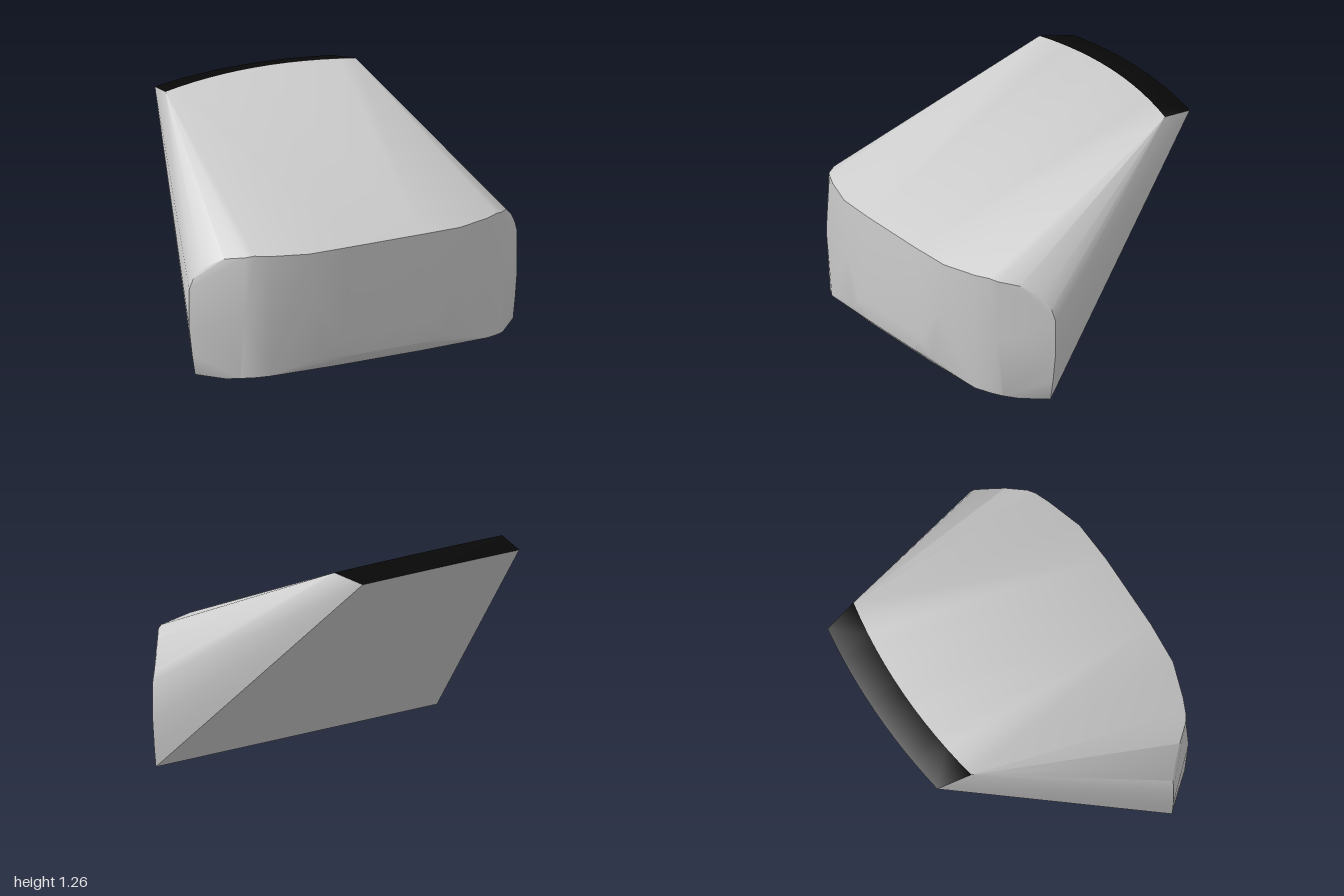
import * as THREE from 'three';
import { ConvexGeometry } from 'three/addons/geometries/ConvexGeometry.js';
import { toCreasedNormals } from 'three/addons/utils/BufferGeometryUtils.js';

export function createModel() {
  const group = new THREE.Group();
  const shellGrey = new THREE.MeshStandardMaterial({ color: 0xcccccc });
  const edgeBlack = new THREE.MeshStandardMaterial({ color: 0x080808 });

  const points = [];
  const pair = (x, y, z) => points.push(new THREE.Vector3(x, y, z), new THREE.Vector3(-x, y, z));

  // front panel and its chin
  [[0.22, 0.705, 0.79], [0.46, 0.70, 0.775], [0.43, 0.42, 0.785], [0.22, 0.205, 0.81],
    [0.28, 0.19, 0.807], [0.36, 0.11, 0.787], [0.22, 0.10, 0.80], [0.54, 0.04, 0.73], [0.25, 0.03, 0.73]]
    .forEach((p) => pair(...p));

  // corner strips
  [[0.66, 0.70, 0.71], [0.74, 0.705, 0.675], [0.78, 0.695, 0.65], [0.79, 0.35, 0.66],
    [0.66, 0.03, 0.715], [0.74, 0.02, 0.67], [0.80, 0.015, 0.63]]
    .forEach((p) => pair(...p));

  // rounded sides and base
  [[0.86, 0.675, 0.56], [0.94, 0.61, 0.47], [0.98, 0.55, 0.44], [1.0, 0.49, 0.43],
    [1.0, 0.27, 0.43], [0.985, 0.12, 0.435], [0.97, 0.01, 0.44], [0.85, 0, 0.56], [0.4, 0, 0.57]]
    .forEach((p) => pair(...p));

  // arched upper edge, front and back rims
  for (let i = 0; i <= 6; i++) {
    const t = i / 6, b = t * t;
    pair(0.58 * t, 1.26 - 0.025 * b, -0.64 + 0.06 * b);
    pair(0.54 * t, 1.22 - 0.018 * b, -0.815 + 0.045 * b);
  }

  // wrap the points, then separate the cap between the two rims
  const hull = new ConvexGeometry(points);
  hull.deleteAttribute('normal');
  const smooth = toCreasedNormals(hull, 0.6);
  const pos = smooth.attributes.position, nor = smooth.attributes.normal;
  const addPart = (name, material, wanted) => {
    const p = [], n = [];
    for (let i = 0; i < pos.count; i += 3) {
      const isCap = [0, 1, 2].every((k) => pos.getZ(i + k) < -0.5);
      if (isCap !== wanted) continue;
      for (let k = i; k < i + 3; k++) {
        p.push(pos.getX(k), pos.getY(k), pos.getZ(k));
        n.push(nor.getX(k), nor.getY(k), nor.getZ(k));
      }
    }
    const geometry = new THREE.BufferGeometry();
    geometry.setAttribute('position', new THREE.Float32BufferAttribute(p, 3));
    geometry.setAttribute('normal', new THREE.Float32BufferAttribute(n, 3));
    const mesh = new THREE.Mesh(geometry, material);
    mesh.name = name;
    group.add(mesh);
  };
  addPart('shell', shellGrey, false);
  addPart('upperEdge', edgeBlack, true);
  return group;
}
